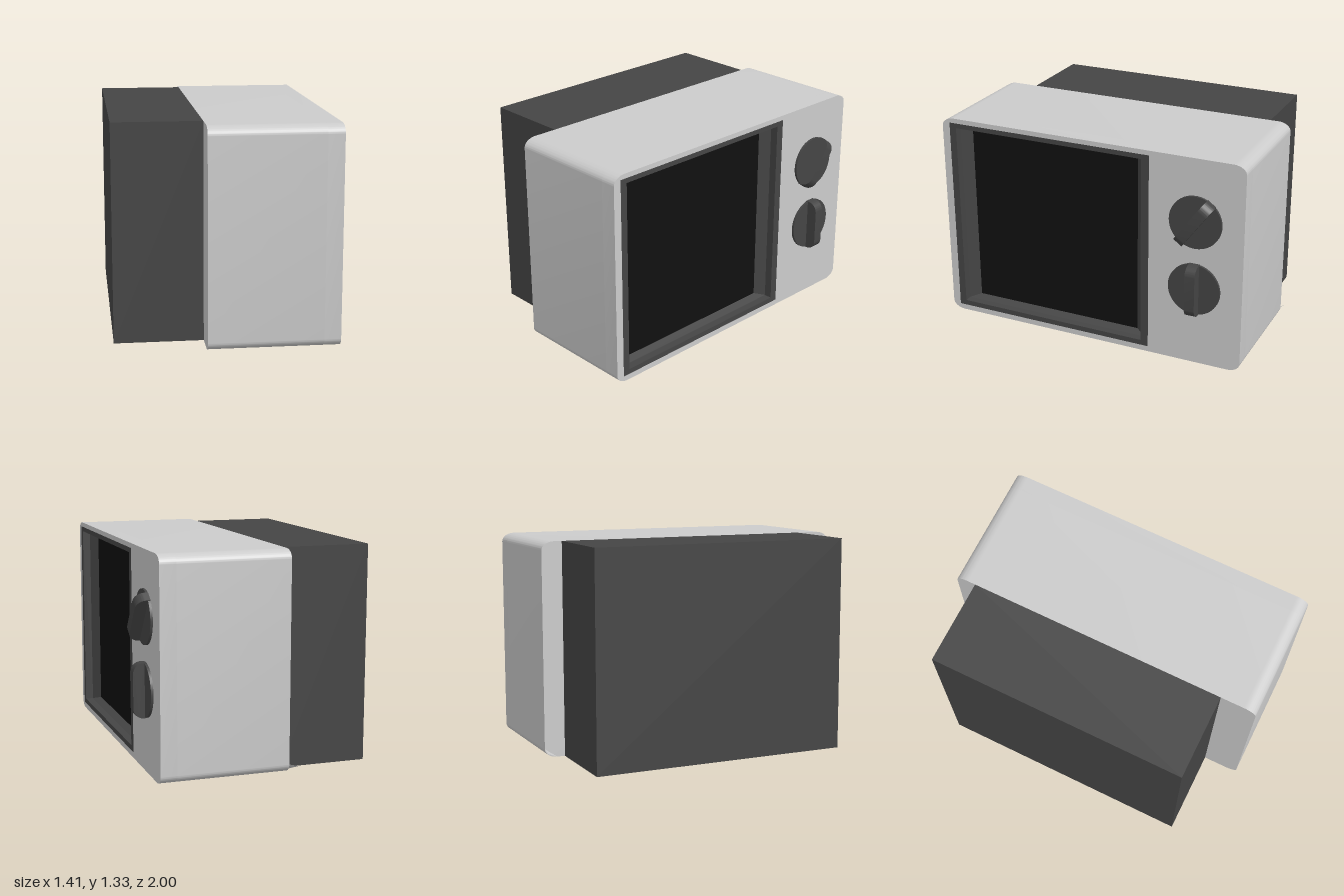
import * as THREE from 'three';
import { toCreasedNormals } from 'three/addons/utils/BufferGeometryUtils.js';

const FRONT = 0.62, BACK = -0.17, REAR = -0.71, HEIGHT = 1.33;

const material = (color, extra = {}) => new THREE.MeshStandardMaterial({ color, ...extra });

function add(parent, name, geometry, mat) {
  const mesh = new THREE.Mesh(geometry, mat);
  mesh.name = name;
  parent.add(mesh);
  return mesh;
}

// Extrude a side profile (shape x = -z, shape y = y) along x
function extrudeX(shape, x0, x1) {
  const g = new THREE.ExtrudeGeometry(shape, { depth: x1 - x0, bevelEnabled: false, curveSegments: 8 });
  g.rotateY(Math.PI / 2).translate(x0, 0, 0);
  return toCreasedNormals(g, 0.6);
}

// Cabinet outline with slightly elliptical corners
function cabinetShape() {
  const rx = 0.08, ry = 0.055, s = new THREE.Shape();
  s.moveTo(-1 + rx, 0);
  s.lineTo(1 - rx, 0);
  s.absellipse(1 - rx, ry, rx, ry, -Math.PI / 2, 0);
  s.absellipse(1 - rx, HEIGHT - ry, rx, ry, 0, Math.PI / 2);
  s.absellipse(-1 + rx, HEIGHT - ry, rx, ry, Math.PI / 2, Math.PI);
  s.absellipse(-1 + rx, ry, rx, ry, Math.PI, Math.PI * 1.5);
  return s;
}

// Rectangle corners, counter-clockwise seen from the front of the screen
const rect = (x, z0, z1, y0, y1) => [[x, y0, z0], [x, y0, z1], [x, y1, z1], [x, y1, z0]];

// Flat-sided loft through rectangular rings
function loft(rings) {
  const pos = [];
  for (let r = 0; r < rings.length - 1; r++) {
    for (let i = 0; i < 4; i++) {
      const j = (i + 1) % 4;
      const a = rings[r][i], b = rings[r][j], c = rings[r + 1][j], d = rings[r + 1][i];
      pos.push(...a, ...b, ...c, ...a, ...c, ...d);
    }
  }
  const g = new THREE.BufferGeometry();
  g.setAttribute('position', new THREE.Float32BufferAttribute(pos, 3));
  g.computeVertexNormals();
  return g;
}

// Round dial with a raised, round-ended grip
function makeKnob(name, y, angle, mat) {
  const knob = new THREE.Group();
  knob.name = name;
  const R = 0.165;
  const disc = new THREE.CylinderGeometry(R, R, 0.015, 40);
  disc.rotateZ(-Math.PI / 2).translate(0.0075, 0, 0);
  add(knob, 'knobDisc', disc, mat);

  const h = 0.085, r = 0.062, s = new THREE.Shape();
  s.moveTo(0, -R);
  s.lineTo(h - r, -R);
  s.absarc(h - r, -R + r, r, -Math.PI / 2, 0);
  s.absarc(h - r, R - r, r, 0, Math.PI / 2);
  s.lineTo(0, R);
  const grip = new THREE.ExtrudeGeometry(s, { depth: 0.064, bevelEnabled: false, curveSegments: 8 });
  grip.translate(0, 0, -0.032);
  add(knob, 'knobGrip', toCreasedNormals(grip, 0.6), mat);

  knob.position.set(FRONT, y, -0.70);
  knob.rotation.x = angle;
  return knob;
}

export function createModel() {
  const model = new THREE.Group();
  model.name = 'television';
  const grey = material(0xcccccc);
  const dark = material(0x454545);
  const black = material(0x101010);

  // Cabinet: solid rear part and a front part opened for the screen
  const recess = 0.52;
  add(model, 'cabinetRear', extrudeX(cabinetShape(), BACK, recess), grey);
  const frontShape = cabinetShape();
  const hole = new THREE.Path();
  hole.moveTo(-0.95, 0.035);
  hole.lineTo(-0.95, 1.30);
  hole.lineTo(0.40, 1.30);
  hole.lineTo(0.40, 0.035);
  hole.closePath();
  frontShape.holes.push(hole);
  add(model, 'cabinetFront', extrudeX(frontShape, recess, FRONT), grey);

  // Screen surround: flat rim, straight wall, then a sloped inner edge
  add(model, 'screenFrame', loft([
    rect(FRONT, 0.95, -0.40, 0.035, 1.30),
    rect(FRONT, 0.905, -0.35, 0.068, 1.27),
    rect(0.57, 0.905, -0.35, 0.068, 1.27),
    rect(0.525, 0.842, -0.288, 0.088, 1.25),
  ]), dark);
  const glass = new THREE.PlaneGeometry(1.13, 1.162);
  glass.rotateY(Math.PI / 2).translate(0.525, 0.669, 0.277);
  add(model, 'screen', glass, black);

  // Rear housing, set off centre
  const housing = new THREE.BoxGeometry(BACK - REAR, HEIGHT, 1.64);
  housing.translate((BACK + REAR) / 2, HEIGHT / 2, -0.05);
  add(model, 'rearHousing', housing, dark);

  // Small thin tab at the lower rear corner
  const tab = new THREE.BufferGeometry();
  tab.setAttribute('position', new THREE.Float32BufferAttribute(
    [BACK, 0.055, -1, -0.23, 0.04, -1, BACK, 0, -0.92], 3));
  tab.computeVertexNormals();
  add(model, 'cornerTab', tab, material(0xcccccc, { side: THREE.DoubleSide }));

  // Control knobs
  model.add(makeKnob('upperKnob', 0.935, -0.63, dark));
  model.add(makeKnob('lowerKnob', 0.502, 0, dark));
  return model;
}
